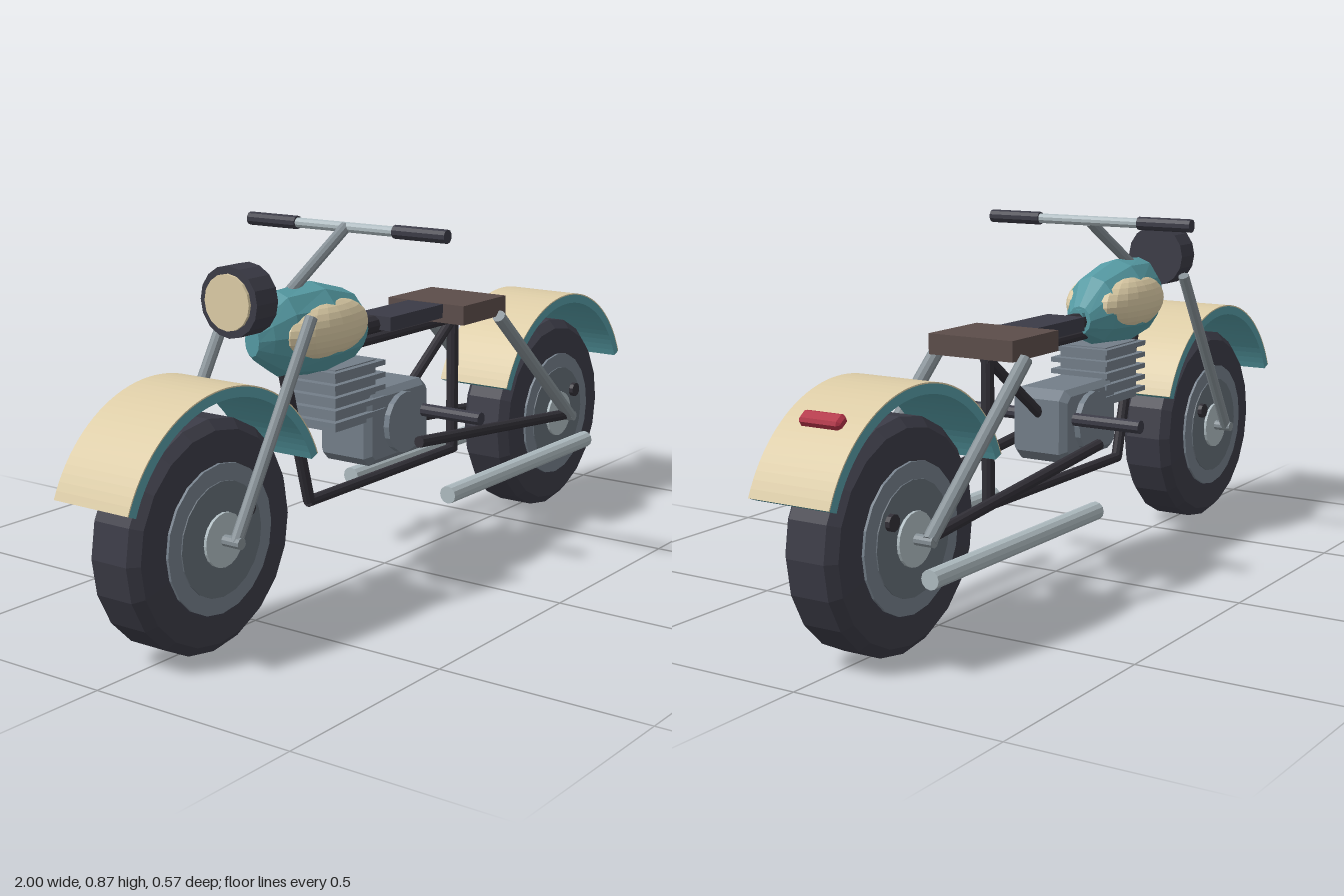
import * as THREE from 'three';

const mat = (name, color, extra = {}) => {
  const m = new THREE.MeshStandardMaterial({ color, flatShading: true, ...extra });
  m.name = name;
  return m;
};

export function createModel() {
  const teal = mat('teal paint', 0x559aa3);
  const cream = mat('cream paint', 0xdcccA6);
  const rubber = mat('rubber', 0x3b3b46);
  const black = mat('black frame', 0x312f36);
  const engineGrey = mat('engine grey', 0x737e89);
  const chrome = mat('chrome', 0xaebbc0);
  const steel = mat('steel', 0x858f95);
  const leather = mat('leather', 0x5c4d4a);
  const red = mat('tail light red', 0xb23246);
  const discGrey = mat('disc grey', 0x636c75);

  const model = new THREE.Group();
  model.name = 'motorcycle';

  const add = (name, geometry, material, x = 0, y = 0, z = 0, parent = model) => {
    const mesh = new THREE.Mesh(geometry, material);
    mesh.name = name;
    mesh.position.set(x, y, z);
    parent.add(mesh);
    return mesh;
  };
  // Straight round bar between two points
  const bar = (name, a, b, r, material, parent = model, sides = 10) => {
    const p = new THREE.Vector3(...a), q = new THREE.Vector3(...b);
    const d = q.clone().sub(p);
    const mesh = add(name, new THREE.CylinderGeometry(r, r, d.length(), sides), material, 0, 0, 0, parent);
    mesh.position.copy(p).add(q).multiplyScalar(0.5);
    mesh.quaternion.setFromUnitVectors(new THREE.Vector3(0, 1, 0), d.normalize());
    return mesh;
  };
  const cross = (name, r, half, material, x, y, parent = model, sides = 20) =>
    bar(name, [x, y, -half], [x, y, half], r, material, parent, sides);
  // Side-on shape extruded evenly about z = 0
  const slab = (name, shape, half, material, bevel = 0) => {
    const g = new THREE.ExtrudeGeometry(shape, {
      depth: 2 * (half - bevel), curveSegments: 20, bevelEnabled: bevel > 0,
      bevelSize: bevel, bevelThickness: bevel, bevelOffset: -bevel, bevelSegments: 1,
    });
    g.translate(0, 0, -(half - bevel));
    return add(name, g, material);
  };
  const poly = pts => new THREE.Shape(pts.map(p => new THREE.Vector2(...p)));

  // Wheels
  const wheelX = 0.698, axleY = 0.26;
  const tyreProfile = [[0.14, -0.07], [0.17, -0.072], [0.235, -0.068], [0.257, -0.048],
    [0.257, 0.048], [0.235, 0.068], [0.17, 0.072], [0.14, 0.07]].map(p => new THREE.Vector2(...p));
  for (const [name, x] of [['frontWheel', -wheelX], ['rearWheel', wheelX]]) {
    const wheel = new THREE.Group();
    wheel.name = name;
    wheel.position.set(x, axleY, 0);
    model.add(wheel);
    add('tyre', new THREE.LatheGeometry(tyreProfile, 20), rubber, 0, 0, 0, wheel).rotation.x = Math.PI / 2;
    cross('rim', 0.165, 0.078, engineGrey, 0, 0, wheel);
    cross('brakeDisc', 0.127, 0.081, discGrey, 0, 0, wheel);
    cross('hub', 0.06, 0.088, chrome, 0, 0, wheel);
    cross('wheelPlug', 0.019, 0.092, black, 0.08, 0.053, wheel, 10);
    cross('axle', 0.013, 0.134, steel, 0, 0, wheel, 10);
  }

  // Fenders: teal band with a thin cream skin on the outside
  const band = (cx, cy, inner, outer) => {
    const s = new THREE.Shape(), a = 0.385, b = Math.PI - 0.385;
    s.absarc(cx, cy, outer, a, b, false);
    s.absarc(cx, cy, inner, b, a, true);
    s.closePath();
    return s;
  };
  for (const [name, x] of [['frontFender', -wheelX], ['rearFender', wheelX]]) {
    slab(name, band(x, 0.265, 0.301, 0.323), 0.102, teal);
    slab(name + 'Skin', band(x, 0.265, 0.323, 0.326), 0.102, cream);
  }

  // Tail light with chamfered ends
  const light = slab('tailLight', poly([[-0.017, -0.012], [-0.017, 0.012], [-0.01, 0.018],
    [0.01, 0.018], [0.017, 0.012], [0.017, -0.012]]), 0.053, red, 0.007);
  light.position.set(0.884, 0.532, 0);
  light.rotation.z = -0.61;

  // Fuel tank lofted from elliptical stations: x, centre y, half height, half width
  const stations = [[-0.495, 0.643, 0.035, 0.02], [-0.465, 0.645, 0.06, 0.042], [-0.41, 0.647, 0.097, 0.066],
    [-0.29, 0.642, 0.108, 0.089], [-0.17, 0.633, 0.085, 0.072], [-0.11, 0.615, 0.035, 0.032]];
  const sides = 12, pos = [], index = [];
  for (const [x, y, h, w] of stations)
    for (let i = 0; i < sides; i++) {
      const t = (i / sides) * Math.PI * 2;
      pos.push(x, y + h * Math.cos(t), w * Math.sin(t));
    }
  const last = stations.length - 1;
  for (let s = 0; s < last; s++)
    for (let i = 0; i < sides; i++) {
      const j = (i + 1) % sides, a = s * sides + i, b = s * sides + j;
      index.push(a, b, a + sides, b, b + sides, a + sides);
    }
  for (let i = 1; i < sides - 1; i++) {
    index.push(0, i + 1, i);
    index.push(last * sides, last * sides + i, last * sides + i + 1);
  }
  // Stations run along +x, so the rings wind outward when each face is reversed
  for (let i = 0; i < index.length; i += 3) {
    const a = new THREE.Vector3().fromArray(pos, index[i] * 3);
    const b = new THREE.Vector3().fromArray(pos, index[i + 1] * 3);
    const c = new THREE.Vector3().fromArray(pos, index[i + 2] * 3);
    const out = a.clone().add(b).add(c).divideScalar(3).sub(new THREE.Vector3(-0.3, 0.64, 0));
    if (b.sub(a).cross(c.sub(a)).dot(out) < 0) [index[i + 1], index[i + 2]] = [index[i + 2], index[i + 1]];
  }
  const tank = new THREE.BufferGeometry();
  tank.setAttribute('position', new THREE.Float32BufferAttribute(pos, 3));
  tank.setIndex(index);
  tank.computeVertexNormals();
  add('fuelTank', tank, teal);
  bar('tankTail', [-0.13, 0.625, 0], [-0.098, 0.625, 0], 0.018, teal);

  // Handlebar, headlight
  const barX = -0.155, barY = 0.857;
  bar('handlebarStem', [-0.37, 0.73, 0], [barX, barY, 0], 0.014, steel);
  cross('handlebar', 0.012, 0.15, chrome, barX, barY, model, 10);
  bar('headlightShell', [-0.57, 0.74, 0], [-0.5, 0.74, 0], 0.079, rubber, model, 16);
  bar('headlightLens', [-0.577, 0.74, 0], [-0.57, 0.74, 0], 0.062, cream, model, 16);

  // Paired parts on both sides
  for (const s of [1, -1]) {
    const panel = add('tankPanel', new THREE.SphereGeometry(1, 20, 14), cream, -0.29, 0.645, s * 0.04);
    panel.scale.set(0.152, 0.07, 0.056);
    bar('grip', [barX, barY, s * 0.14], [barX, barY, s * 0.283], 0.016, rubber);
    bar('frontFork', [-wheelX, axleY, s * 0.118], [-0.435, 0.7, s * 0.118], 0.014, steel);
    bar('rearStay', [wheelX, axleY, s * 0.12], [0.325, 0.59, s * 0.12], 0.017, steel);
    bar('swingArm', [-0.015, 0.333, s * 0.112], [0.695, 0.263, s * 0.112], 0.014, black);
    bar('exhaust', [0.058, 0.19, s * 0.147], [0.735, 0.19, s * 0.147], 0.022, chrome, model, 12);
  }

  // Frame tubes
  bar('downTube', [-0.39, 0.57, 0], [-0.3, 0.235, 0], 0.014, black);
  bar('bottomTube', [-0.305, 0.235, 0], [0.305, 0.235, 0], 0.013, black);
  bar('seatPost', [0.297, 0.23, 0], [0.297, 0.59, 0], 0.015, black);
  bar('topTube', [-0.14, 0.578, 0], [0.31, 0.578, 0], 0.013, black);
  bar('braceTube', [0.05, 0.395, 0], [0.295, 0.575, 0], 0.013, black);
  bar('spineTube', [-0.15, 0.613, 0], [0.0, 0.613, 0], 0.022, black);

  // Seat
  add('seatPad', new THREE.BoxGeometry(0.4, 0.034, 0.104), rubber, 0.152, 0.618, 0);
  add('seat', new THREE.BoxGeometry(0.194, 0.048, 0.226), leather, 0.27, 0.612, 0);

  // Engine
  add('cylinderBlock', new THREE.BoxGeometry(0.155, 0.145, 0.13), engineGrey, -0.205, 0.477, 0);
  for (let i = 0; i < 5; i++)
    add('coolingFin', new THREE.BoxGeometry(0.195, 0.012, 0.16), engineGrey, -0.205, 0.425 + i * 0.029, 0);
  slab('crankcase', poly([[-0.168, 0.315], [-0.148, 0.295], [0.06, 0.295], [0.085, 0.32],
    [0.085, 0.45], [0.06, 0.472], [-0.148, 0.472], [-0.168, 0.452]]), 0.075, engineGrey, 0.015);
  cross('crankCover', 0.074, 0.09, engineGrey, -0.035, 0.384, model, 16);
  cross('footPegs', 0.016, 0.255, rubber, 0.036, 0.4, model, 10);

  return model;
}
